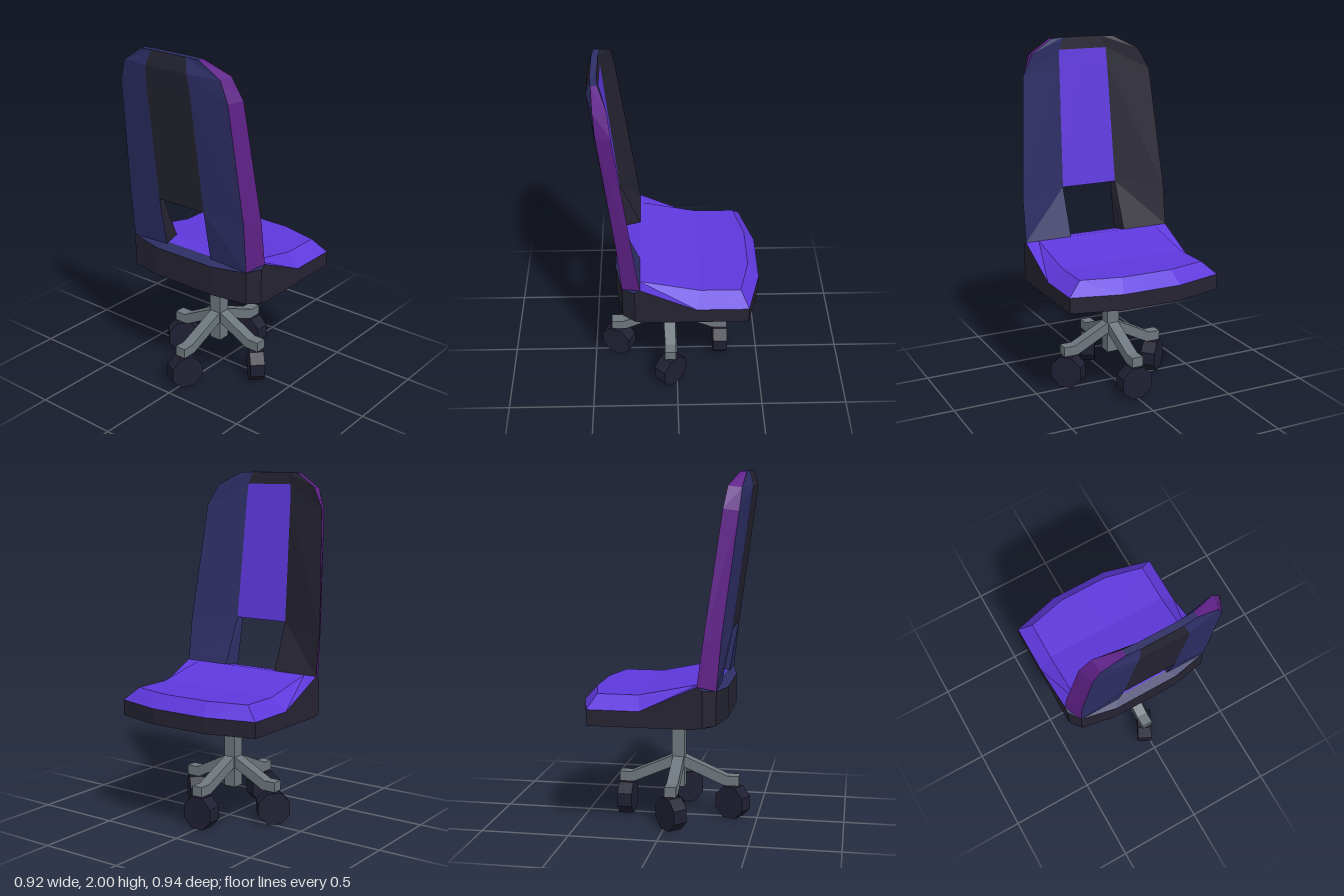
import * as THREE from 'three';

const mat = (name, color) => Object.assign(new THREE.MeshStandardMaterial({ color }), { name });

export function createModel() {
  const purple = mat('bright purple', 0x5e38dc);
  const navy = mat('navy', 0x2d2e64);
  const dark = mat('charcoal', 0x242331);
  const plum = mat('plum', 0x5f2188);
  const grey = mat('grey metal', 0x6c767c);
  const rubber = mat('wheel rubber', 0x1f1f32);

  const model = new THREE.Group();
  model.name = 'swivelChair';

  const faceted = (geo) => {
    const g = geo.index ? geo.toNonIndexed() : geo;
    g.computeVertexNormals();
    return g;
  };
  const add = (parent, name, geo, material) => {
    const mesh = new THREE.Mesh(faceted(geo), material);
    mesh.name = name;
    parent.add(mesh);
    return mesh;
  };

  // A shell collects polygons given for the +x half, mirrors them and turns
  // each triangle towards the direction "out".
  const makeShell = (name) => {
    const parts = new Map();
    const tri = (part, material, a, b, c, out) => {
      const [A, B, C] = [a, b, c].map((p) => new THREE.Vector3(...p));
      const n = B.clone().sub(A).cross(C.clone().sub(A));
      if (n.lengthSq() < 1e-14) return;
      if (n.dot(new THREE.Vector3(...out)) < 0) [B, C] = [C, B].length ? swap(B, C) : [];
    };
    const swap = (B, C) => [C, B];
    const push = (part, material, pts, out) => {
      if (!parts.has(part)) parts.set(part, { material, pos: [] });
      const pos = parts.get(part).pos;
      const dir = new THREE.Vector3(...out);
      for (let i = 1; i < pts.length - 1; i++) {
        const [a, b, c] = [pts[0], pts[i], pts[i + 1]].map((p) => new THREE.Vector3(...p));
        const n = b.clone().sub(a).cross(c.clone().sub(a));
        if (n.lengthSq() < 1e-14) continue;
        const t = n.dot(dir) < 0 ? [a, c, b] : [a, b, c];
        t.forEach((v) => pos.push(v.x, v.y, v.z));
      }
    };
    const flip = ([x, y, z]) => [-x, y, z];
    return {
      face(part, left, pts, out, right = left, rightPart = part) {
        push(part, left, pts, out);
        push(rightPart, right, pts.map(flip), flip(out));
      },
      finish() {
        const group = new THREE.Group();
        group.name = name;
        for (const [part, { material, pos }] of parts) {
          const geo = new THREE.BufferGeometry();
          geo.setAttribute('position', new THREE.Float32BufferAttribute(pos, 3));
          add(group, part, geo, material);
        }
        model.add(group);
      },
    };
  };
  const mid = ([, y, z]) => [0, y, z];

  // Backrest rows, bottom to top: front outer, front inner, rear outer, rear inner
  const rows = [
    [[0.46, 0.855, 0.21], [0.175, 0.855, 0.21], [0.41, 0.825, 0.31], [0.16, 0.83, 0.31]],
    [[0.46, 1.1, 0.243], [0.172, 1.13, 0.325], [0.41, 1.11, 0.335], [0.16, 1.13, 0.366]],
    [[0.405, 1.8, 0.337], [0.155, 1.83, 0.395], [0.37, 1.79, 0.42], [0.15, 1.8, 0.455]],
    [[0.34, 1.92, 0.355], [0.15, 1.93, 0.405], [0.33, 1.91, 0.43], [0.14, 1.92, 0.47]],
    [[0.2, 1.995, 0.405], [0.12, 2, 0.412], [0.2, 1.995, 0.44], [0.12, 2, 0.448]],
  ];
  const back = makeShell('backrest');
  for (let i = 0; i < 4; i++) {
    const [so, si, bo, bi] = rows[i];
    const [So, Si, Bo, Bi] = rows[i + 1];
    back.face('leftFrontStrip', navy, [so, si, Si, So], [0, 0, -1], dark, 'rightFrontStrip');
    back.face('rearStrips', navy, [bo, bi, Bi, Bo], [0, 0, 1]);
    back.face('sideEdges', plum, [so, bo, Bo, So], [1, 0.6, 0]);
    if (i === 0) {
      // walls of the opening above the seat
      back.face('leftFrontStrip', navy, [si, bi, Bi, Si], [-1, 0, 0], dark, 'rightFrontStrip');
      back.face('rearPanel', dark, [Si, Bi, mid(Bi), mid(Si)], [0, -1, 0]);
    } else {
      back.face(i < 3 ? 'frontPanel' : 'rearPanel', i < 3 ? purple : dark,
        [si, mid(si), mid(Si), Si], [0, 0, -1]);
      back.face('rearPanel', dark, [bi, mid(bi), mid(Bi), Bi], [0, 0, 1]);
    }
  }
  const [so, si, bo, bi] = rows[4];
  back.face('topEdge', navy, [so, bo, bi, si], [0, 1, 0]);
  back.face('topEdge', navy, [si, bi, mid(bi), mid(si)], [0, 1, 0]);
  back.finish();

  // Seat rim, front to rear: x, upper y, z, lower y
  const seat = makeShell('seat');
  const rim = [
    [0, 0.71, -0.475, 0.62], [0.175, 0.71, -0.475, 0.62], [0.46, 0.71, -0.4, 0.62],
    [0.46, 0.71, -0.105, 0.62], [0.46, 0.855, 0.21, 0.625], [0.46, 0.835, 0.24, 0.63],
    [0.41, 0.825, 0.31, 0.635], [0.2, 0.812, 0.35, 0.64], [0, 0.812, 0.35, 0.64],
  ];
  const up = rim.map(([x, y, z]) => [x, y, z]);
  const low = rim.map(([x, , z, y]) => [x, y, z]);
  const under = rim.map(([x, , z], i) => (i < 5 ? [x, 0.62, z] : [x * 0.97, 0.62, z - 0.045]));
  for (let i = 0; i < rim.length - 1; i++) {
    const out = [up[i][0] + up[i + 1][0], 0, up[i][2] + up[i + 1][2]];
    seat.face('seatShell', dark, [up[i], up[i + 1], low[i + 1], low[i]], out);
    seat.face('seatShell', dark, [low[i], low[i + 1], under[i + 1], under[i]], [out[0], -1, out[2]]);
    seat.face('seatShell', dark, [[0, 0.62, 0], under[i], under[i + 1]], [0, -1, 0]);
  }
  // cushion with bevelled front and sides
  const UP = [0, 1, 0];
  const top = [[0, 0.785, -0.41], [0.15, 0.785, -0.41], [0.38, 0.785, -0.355], [0.38, 0.785, -0.125],
    [0.38, 0.855, 0.21]];
  for (let i = 0; i < 4; i++) {
    seat.face('cushion', purple, [up[i], up[i + 1], top[i + 1], top[i]], UP);
  }
  seat.face('cushion', purple, [mid(top[3]), top[0], top[1], top[2], top[3]], UP);
  seat.face('cushion', purple, [top[3], top[4], mid(top[4]), mid(top[3])], UP);
  // ledge below and behind the backrest
  const sill = [[0.175, 0.855, 0.21], [0.155, 0.843, 0.3]];
  seat.face('cushion', purple, [sill[0], sill[1], mid(sill[1]), mid(sill[0])], UP);
  seat.face('rearLedge', navy, [sill[1], mid(sill[1]), up[8], up[7]], UP);
  seat.face('rearLedge', navy, [sill[1], up[7], up[6]], UP);
  seat.face('rearLedge', navy, [sill[0], sill[1], up[6], up[5], up[4]], UP);
  seat.finish();

  // Swivel base: post, four cranked arms and faceted casters
  const base = new THREE.Group();
  base.name = 'swivelBase';
  base.position.z = 0.04;
  model.add(base);
  add(base, 'post', new THREE.BoxGeometry(0.075, 0.45, 0.075), grey).position.y = 0.4;

  const arms = [ // direction, arm length, caster distance, caster swivel
    [0, 0.315, 0.278, Math.PI / 4],
    [Math.PI / 2, 0.35, 0.31, Math.PI / 2],
    [Math.PI, 0.315, 0.283, -Math.PI / 4],
    [-Math.PI / 2, 0.355, 0.317, -0.47],
  ];
  for (const [angle, length, reach, swivel] of arms) {
    const profile = new THREE.Shape([[0, 0.36], [0.03, 0.36], [length - 0.07, 0.25], [length, 0.25],
      [length, 0.192], [length - 0.085, 0.192], [0.03, 0.295], [0, 0.295]]
      .map(([x, y]) => new THREE.Vector2(x, y)));
    const armGeo = new THREE.ExtrudeGeometry(profile, { depth: 0.066, bevelEnabled: false });
    armGeo.translate(0, 0, -0.033);
    add(base, 'arm', armGeo, grey).rotation.y = angle;

    const wheelGeo = new THREE.CylinderGeometry(0.1, 0.1, 0.085, 8, 1, false, Math.PI / 8);
    wheelGeo.rotateZ(Math.PI / 2);
    const wheel = add(base, 'caster', wheelGeo, rubber);
    wheel.position.set(Math.cos(angle) * reach, 0.1 * Math.cos(Math.PI / 8), -Math.sin(angle) * reach);
    wheel.rotation.y = swivel;
  }
  return model;
}
